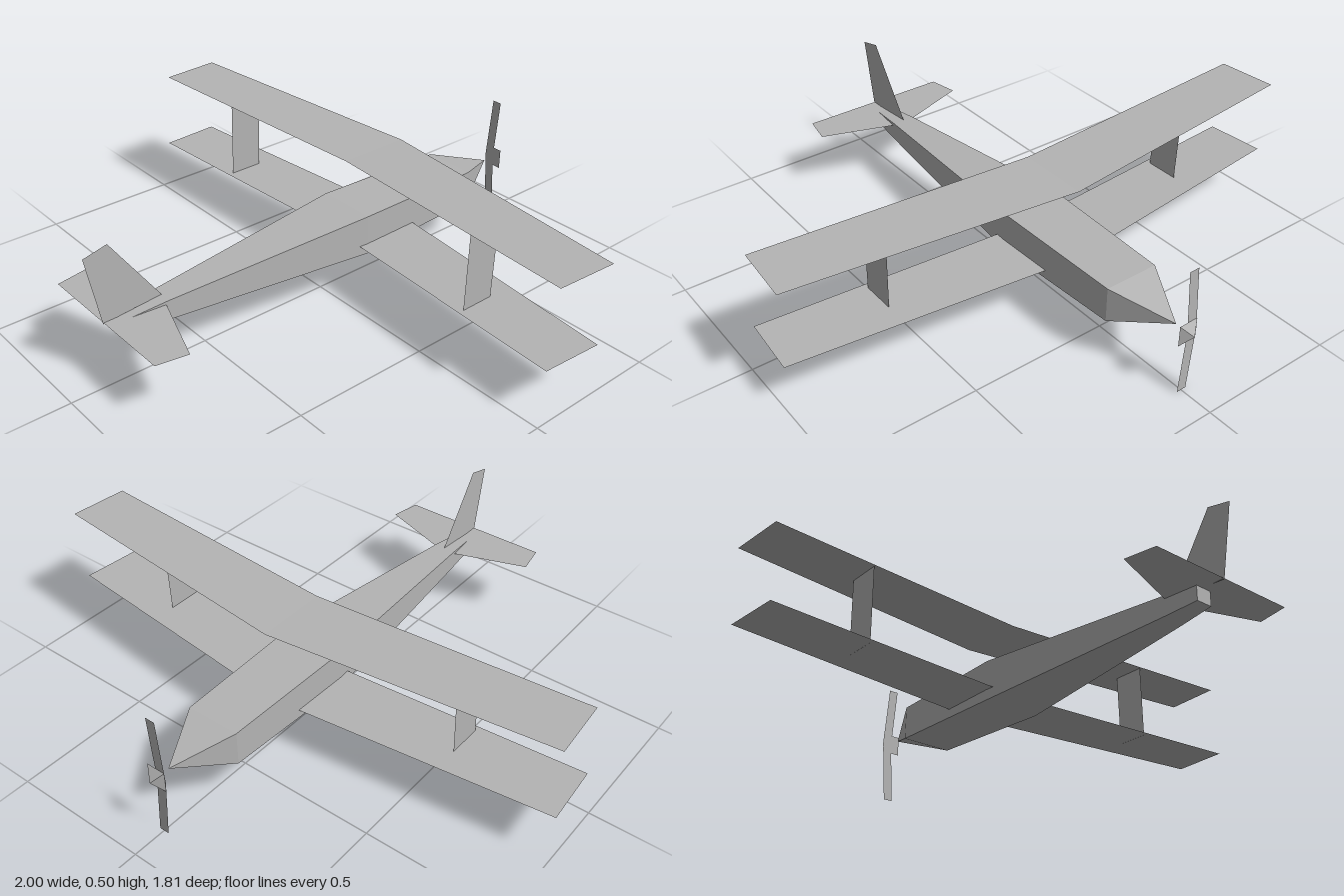
import * as THREE from 'three';

const grey = new THREE.MeshStandardMaterial({ color: 0xb4b4b4, side: THREE.DoubleSide });
grey.name = 'plain grey';

// Thin convex panel from corner points, filled as a fan
function panel(name, corners) {
  const pos = [];
  for (let i = 1; i < corners.length - 1; i++) pos.push(...corners[0], ...corners[i], ...corners[i + 1]);
  return meshFrom(name, pos);
}

function meshFrom(name, pos) {
  const g = new THREE.BufferGeometry();
  g.setAttribute('position', new THREE.Float32BufferAttribute(pos, 3));
  g.computeVertexNormals();
  const m = new THREE.Mesh(g, grey);
  m.name = name;
  return m;
}

// Box-section body: each section is [z, half width, top y, bottom y]
function body(name, sections) {
  const ring = ([z, w, t, b]) => [[-w, b, z], [w, b, z], [w, t, z], [-w, t, z]];
  const rings = sections.map(ring);
  const pos = [];
  const quad = (a, b, c, d) => pos.push(...a, ...b, ...c, ...a, ...c, ...d);
  for (let s = 0; s < rings.length - 1; s++) {
    const p = rings[s], q = rings[s + 1];
    for (let i = 0; i < 4; i++) {
      const j = (i + 1) % 4;
      quad(p[j], p[i], q[i], q[j]);
    }
  }
  const first = rings[0], last = rings[rings.length - 1];
  quad(first[3], first[2], first[1], first[0]);
  quad(last[0], last[1], last[2], last[3]);
  // The rings run towards +z, so reverse the side faces to face outwards
  const sideCount = (rings.length - 1) * 8;
  for (let t = 0; t < sideCount; t++) {
    for (let k = 0; k < 3; k++) {
      const a = t * 9 + 3 + k, b = t * 9 + 6 + k;
      [pos[a], pos[b]] = [pos[b], pos[a]];
    }
  }
  return meshFrom(name, pos);
}

export function createModel() {
  const model = new THREE.Group();
  model.name = 'biplane';

  // Fuselage with pointed nose and slim tail
  model.add(body('fuselage', [
    [-0.83, 0, 0.23, 0.23],
    [-0.63, 0.098, 0.283, 0.158],
    [-0.12, 0.11, 0.29, 0.143],
    [0.65, 0.042, 0.248, 0.177],
    [0.78, 0.03, 0.236, 0.185],
  ]));

  // Swept wings, lower one set slightly back, and struts between them
  for (const s of [1, -1]) {
    const side = s > 0 ? 'left' : 'right';
    for (const [name, y, dz] of [['UpperWing', 0.462, 0], ['LowerWing', 0.181, 0.02]]) {
      model.add(panel(side + name, [
        [0, y, -0.375 + dz], [0, y, -0.115 + dz],
        [s * 0.985, y + 0.007, -0.05 + dz], [s, y + 0.007, -0.27 + dz],
      ]));
    }
    model.add(panel(side + 'Strut', [
      [s * 0.61, 0.185, -0.075], [s * 0.61, 0.185, -0.2],
      [s * 0.61, 0.466, -0.21], [s * 0.61, 0.466, -0.082],
    ]));
    // Tailplane half
    model.add(panel(side + 'Tailplane', [
      [0, 0.236, 0.66], [0, 0.236, 0.86], [s * 0.28, 0.236, 0.86],
      [s * 0.3, 0.236, 0.75], [s * 0.04, 0.236, 0.66],
    ]));
  }

  // Upright fin
  model.add(panel('fin', [
    [0, 0.25, 0.65], [0, 0.5, 0.82], [0, 0.48, 0.905], [0, 0.232, 0.862],
  ]));

  // Propeller: two slightly raked blades and a small pyramid spinner
  const propeller = new THREE.Group();
  propeller.name = 'propeller';
  for (const [name, tip] of [['upperBlade', 0.46], ['lowerBlade', 0]]) {
    propeller.add(panel(name, [
      [-0.037, 0.23, -0.877], [0, 0.23, -0.877], [0.017, tip, -0.877], [-0.019, tip, -0.877],
    ]));
  }
  propeller.add(body('spinner', [
    [-0.907, 0, 0.23, 0.23],
    [-0.878, 0.035, 0.268, 0.194],
  ]));
  model.add(propeller);

  return model;
}
